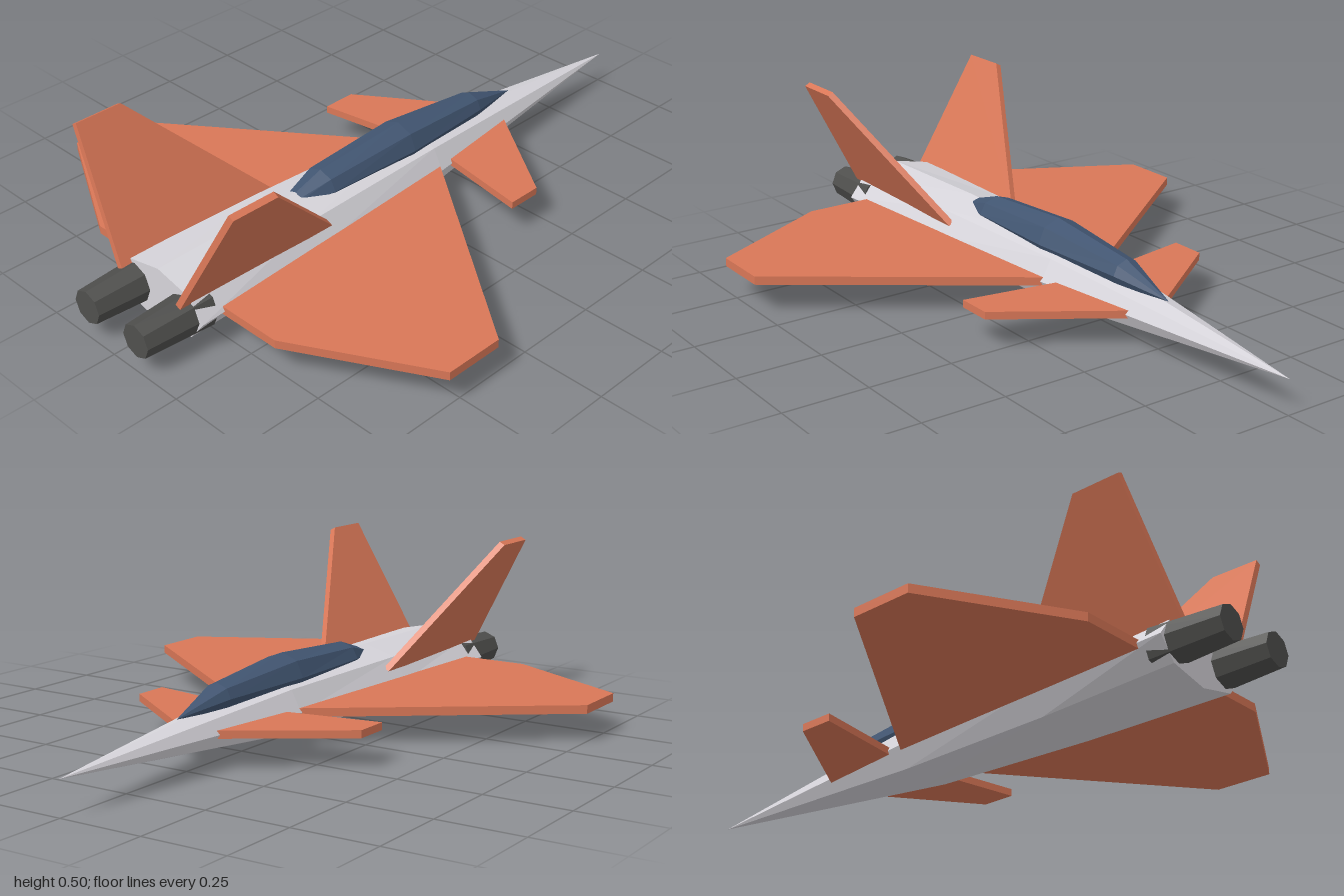
import * as THREE from 'three';

const mat = (name, color) => {
  const m = new THREE.MeshStandardMaterial({ color, flatShading: true });
  m.name = name;
  return m;
};

// Loft octagonal sections [z, centreY, halfWidth, halfHeight] ordered along +z.
function loft(sections, sides = 8) {
  const pos = [];
  const p = (i, j) => {
    const [z, y, rx, ry] = sections[i];
    const a = ((j % sides) / sides) * Math.PI * 2;
    return [rx * Math.cos(a), y + ry * Math.sin(a), z];
  };
  const last = sections.length - 1;
  for (let j = 0; j < sides; j++) {
    for (let i = 0; i < last; i++) {
      if (sections[i][2] > 0) pos.push(...p(i, j), ...p(i, j + 1), ...p(i + 1, j));
      pos.push(...p(i, j + 1), ...p(i + 1, j + 1), ...p(i + 1, j));
    }
    // rear cap
    pos.push(0, sections[last][1], sections[last][0], ...p(last, j), ...p(last, j + 1));
  }
  const g = new THREE.BufferGeometry();
  g.setAttribute('position', new THREE.Float32BufferAttribute(pos, 3));
  g.computeVertexNormals();
  return g;
}

// Flat slab from a 2D outline.
function slab(points, thickness) {
  const shape = new THREE.Shape(points.map(([a, b]) => new THREE.Vector2(a, b)));
  return new THREE.ExtrudeGeometry(shape, { depth: thickness, bevelEnabled: false });
}

// Horizontal slab from an (x, z) outline, centred on height y.
const planform = (points, side, y, t) =>
  slab(points.map(([x, z]) => [x * side, -z]), t).rotateX(-Math.PI / 2).translate(0, y - t / 2, 0);

export function createModel() {
  const grey = mat('light grey body', 0xd6d4da);
  const orange = mat('orange wing', 0xd97757);
  const glass = mat('dark blue glass', 0x415571);
  const metal = mat('dark metal', 0x4f4f4d);

  const model = new THREE.Group();
  model.name = 'jet';
  const add = (name, geometry, material) => {
    const mesh = new THREE.Mesh(geometry, material);
    mesh.name = name;
    model.add(mesh);
    return mesh;
  };

  // Fuselage, needle nose towards -z
  add('fuselage', loft([
    [-1, 0.098, 0, 0],
    [-0.12, 0.098, 0.112, 0.088],
    [0.4, 0.098, 0.145, 0.098],
    [0.84, 0.098, 0.172, 0.091],
  ]), grey);

  // Faceted canopy sunk into the spine
  add('canopy', loft([
    [-0.54, 0.15, 0, 0],
    [-0.36, 0.175, 0.045, 0.04],
    [-0.05, 0.18, 0.071, 0.066],
    [0.26, 0.18, 0.06, 0.046],
    [0.4, 0.17, 0.02, 0.01],
  ]), glass);

  for (const [label, s] of [['left', 1], ['right', -1]]) {
    // Main wing
    add(label + 'Wing', planform(
      [[0.05, -0.161], [0.756, 0.365], [0.756, 0.545], [0.358, 0.762], [0.05, 0.762]], s, 0.098, 0.025), orange);

    // Foreplane
    add(label + 'Canard', planform(
      [[0.03, -0.473], [0.378, -0.23], [0.378, -0.125], [0.03, -0.183]], s, 0.099, 0.022), orange);

    // Outward-canted tail fin: outline is (z, height)
    const fin = add(label + 'TailFin',
      slab([[0.335, 0], [0.875, 0], [0.84, 0.405], [0.695, 0.405]], 0.019)
        .translate(0, 0, -0.0095).rotateY(-Math.PI / 2), orange);
    fin.position.set(s * 0.115, 0.14, 0);
    fin.rotation.z = -s * 0.5;

    // Engine nozzle, narrowing to the rear
    const nozzle = add(label + 'Nozzle',
      new THREE.CylinderGeometry(0.05, 0.062, 0.22, 8).rotateX(Math.PI / 2), metal);
    nozzle.position.set(s * 0.1, 0.098, 0.89);
  }
  return model;
}
